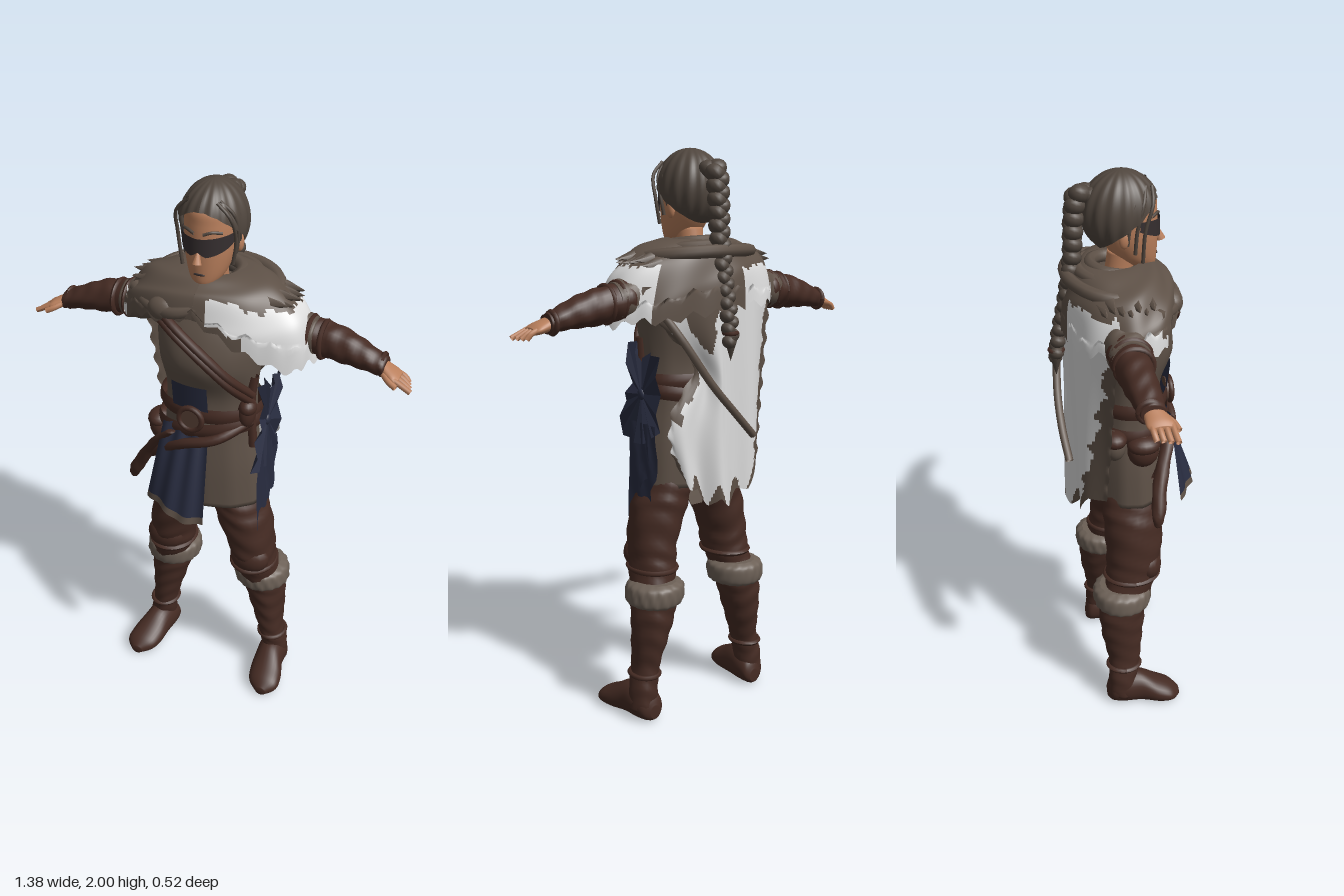
import * as THREE from 'three';

const mat = (name, color, side = THREE.DoubleSide) => Object.assign(new THREE.MeshStandardMaterial({ color, side }), { name });
const V = (x, y, z) => new THREE.Vector3(x, y, z);

export function createModel() {
  const model = new THREE.Group();
  model.name = 'wanderer';
  const cloth = mat('brown cloth', 0x5e5147), leather = mat('dark leather', 0x452b23), white = mat('white cloth', 0xdcdcdc),
    navy = mat('navy cloth', 0x292d41), skin = mat('skin', 0xb97f5c), fur = mat('fur', 0x6c6056),
    hair = mat('hair', 0x50463e), dark = mat('mask', 0x352e2f), metal = mat('old metal', 0x553e34);

  const add = (name, geo, material, parent = model) => {
    const m = new THREE.Mesh(geo, material);
    m.name = name;
    parent.add(m);
    return m;
  };

  // Mirrors a geometry to the other side, keeping its faces outward
  const flip = (geo) => {
    geo.scale(-1, 1, 1);
    const ix = geo.index.array;
    for (let i = 0; i < ix.length; i += 3) [ix[i], ix[i + 1]] = [ix[i + 1], ix[i]];
    geo.computeVertexNormals();
    return geo;
  };
  const both = (name, make, material) => {
    add('left' + name, make(), material);
    add('right' + name, flip(make()), material);
  };

  // Smooth body through elliptical sections [x, y, z, r1, r2] along an axis
  const loft = (rings, axis = 'y', wrinkle = () => 1, seg = 28, sub = 6) => {
    const pos = [], idx = [], n = (rings.length - 1) * sub + 1;
    const at = (i, k) => rings[Math.max(0, Math.min(rings.length - 1, i))][k];
    for (let r = 0; r < n; r++) {
      const i = Math.min(Math.floor(r / sub), rings.length - 2), t = r / sub - i;
      const [x, y, z, p, q] = [0, 1, 2, 3, 4].map((k) => {
        const a = at(i - 1, k), b = at(i, k), c = at(i + 1, k), d = at(i + 2, k);
        return 0.5 * (2 * b + (c - a) * t + (2 * a - 5 * b + 4 * c - d) * t * t + (3 * b - a - 3 * c + d) * t * t * t);
      });
      for (let j = 0; j < seg; j++) {
        const a = j / seg * Math.PI * 2, w = wrinkle(a, r / (n - 1)), C = Math.cos(a) * w, S = Math.sin(a) * w;
        const v = axis === 'y' ? [x + p * S, y, z + q * C] : axis === 'x' ? [x, y + p * C, z + q * S] : [x + p * C, y + q * S, z];
        pos.push(v[0], Math.max(0, v[1]), v[2]);
      }
    }
    for (const k of [0, rings.length - 1]) pos.push(...rings[k].slice(0, 3));
    for (let j = 0; j < seg; j++) {
      const k = (j + 1) % seg, top = (n - 1) * seg;
      for (let r = 0; r < n - 1; r++) {
        const a = r * seg + j, b = r * seg + k;
        idx.push(a, b, a + seg, b, b + seg, a + seg);
      }
      idx.push(n * seg, k, j, n * seg + 1, top + j, top + k);
    }
    const g = new THREE.BufferGeometry();
    g.setAttribute('position', new THREE.Float32BufferAttribute(pos, 3));
    g.setIndex(idx);
    g.computeVertexNormals();
    return g;
  };

  // Cloth surface from a rule; pick(u, v) gives each cell a slot in the material list
  const sheet = (name, fn, nu, nv, mats, pick = () => 0) => {
    const pos = [], cells = mats.map(() => []), g = new THREE.BufferGeometry();
    for (let j = 0; j <= nv; j++) for (let i = 0; i <= nu; i++) pos.push(...fn(i / nu, j / nv));
    for (let j = 0; j < nv; j++) for (let i = 0; i < nu; i++) {
      const a = j * (nu + 1) + i, c = a + nu + 1;
      cells[pick((i + 0.5) / nu, (j + 0.5) / nv)].push(a, c, a + 1, a + 1, c, c + 1);
    }
    g.setAttribute('position', new THREE.Float32BufferAttribute(pos, 3));
    g.setIndex(cells.flat());
    let start = 0;
    cells.forEach((c, k) => { g.addGroup(start, c.length, k); start += c.length; });
    g.computeVertexNormals();
    return add(name, g, mats);
  };
  const tube = (pts, r, seg = 24) => new THREE.TubeGeometry(new THREE.CatmullRomCurve3(pts.map((p) => V(...p))), seg, r, 8);
  const ball = (x, y, z, a, b, c) => new THREE.SphereGeometry(1, 18, 12).scale(a, b, c).translate(x, y, z);
  const jag = (t) => Math.abs(((t % 1) + 1) % 1 - 0.5) * 2;
  const bump = (t, mid, width) => Math.exp(-(((t - mid) / width) ** 2));
  const folds = (n, amp) => (a, s) => 1 + amp * Math.sin(s * n + 2 * Math.sin(a * 2)) + amp * 0.6 * Math.sin(a * 5 + s * 9);

  // Legs, boots and fur cuffs
  both('Trouser', () => loft([[.19, .47, -.03, .075, .085], [.168, .56, -.005, .082, .095], [.16, .64, .005, .085, .1],
    [.13, .76, .008, .1, .106], [.108, .84, .005, .092, .104], [.09, .92, 0, .075, .08]], 'y', folds(40, .025)), leather);
  both('KneePad', () => ball(.172, .595, .05, .075, .065, .052), leather);
  both('KneeStrap', () => new THREE.TorusGeometry(.08, .01, 6, 28).rotateX(Math.PI / 2).scale(1, 1, 1.18).translate(.168, .55, -.005), leather);
  both('Boot', () => loft([[.25, .04, -.055, .05, .052], [.245, .12, -.052, .05, .055], [.23, .2, -.045, .047, .06],
    [.215, .3, -.05, .062, .074], [.2, .4, -.05, .077, .085], [.19, .47, -.045, .075, .088]], 'y', folds(44, .03)), leather);
  both('AnkleStrap', () => new THREE.TorusGeometry(.05, .009, 6, 24).rotateX(Math.PI / 2).scale(1, 1, 1.15).translate(.237, .17, -.048), leather);
  both('Foot', () => loft([[.235, .035, -.112, .02, .025], [.24, .05, -.095, .045, .05], [.245, .06, -.05, .056, .065], [.25, .06, .01, .056, .066],
    [.262, .042, .075, .064, .048], [.27, .032, .125, .056, .033], [.273, .022, .158, .02, .016]], 'z'), leather);
  both('FurCuff', () => loft([[.19, .425, -.045, .075, .085], [.188, .44, -.045, .1, .1], [.186, .47, -.045, .104, .106],
    [.184, .5, -.045, .098, .102], [.183, .515, -.045, .07, .08]], 'y', (a, s) => 1 + .025 * Math.sin(a * 17 + s * 8), 48), fur);

  // Tunic and skirt
  add('tunic', loft([[0, .85, .01, .2, .135], [0, 1, .01, .19, .132], [0, 1.15, .01, .168, .122], [0, 1.28, .01, .165, .114], [0, 1.4, .02, .178, .145],
    [0, 1.5, .005, .19, .14], [0, 1.59, -.02, .18, .115], [0, 1.65, -.025, .09, .08]], 'y', (a, s) => 1 + .012 * (1 - s) * Math.sin(a * 12), 48), cloth);
  sheet('tunicBackFlap', (u, v) => [(u - .5) * (.13 - .08 * v), .88 - .12 * v, -.02 - .03 * v], 6, 4, [cloth]);

  // Navy front panels
  sheet('chestPanel', (u, v) => {
    const x = -.09 + .135 * u;
    return [x, 1.34 - .14 * v, .012 + (.128 + .018 * (1 - v)) * Math.sqrt(1 - (x / .19) ** 2)];
  }, 10, 4, [navy]);
  sheet('frontPanel', (u, v) => [(-.125 + .17 * u) * (1 - v) + (-.185 + .26 * u) * v, 1.17 - .32 * v + .01 * v * Math.sin(u * 7),
    .138 + v * (.032 + .085 * Math.sin(Math.min(1, u * 1.4) * 1.57)) + .005 * Math.sin(u * 19)], 24, 14, [navy, cloth], (u, v) => (v > .92 ? 1 : 0));

  // Belts, buckle, pouches and scabbard
  const belt = (name, y, h, tilt, r) => sheet(name, (u, v) => {
    const a = u * Math.PI * 2, b = r + .007 * Math.sin(v * Math.PI);
    return [(.168 + b) * Math.sin(a), y + h * (.5 - v) + tilt * Math.sin(a), .01 + (.12 + b) * Math.cos(a)];
  }, 48, 4, [leather]);
  belt('upperBelt', 1.225, .055, 0, .013);
  belt('lowerBelt', 1.165, .05, .03, .02);
  add('buckle', new THREE.CylinderGeometry(.044, .044, .02, 18).rotateX(Math.PI / 2).translate(-.012, 1.215, .153), metal);
  add('buckleRim', new THREE.TorusGeometry(.042, .01, 8, 24).translate(-.012, 1.215, .16), leather);
  add('hangingStrap', tube([[.17, 1.2, .06], [.08, 1.15, .15], [-.04, 1.11, .165], [-.15, 1.03, .12], [-.21, .97, .07]], .018), leather);
  add('sideStrap', tube([[.172, 1.37, .05], [.165, 1.27, .055], [.178, 1.1, .06]], .016), leather);
  add('scabbard', loft([[-.295, .835, .06, .012, .012], [-.28, .88, .065, .026, .024], [-.22, .98, .085, .026, .025], [-.15, 1.08, .125, .023, .022],
    [-.09, 1.14, .15, .016, .016]], 'y', folds(30, .06), 12), leather);
  [[-.185, 1.08, .03, .045, .06, .055], [-.18, 1.11, -.07, .045, .055, .04], [.155, 1.23, .07, .03, .055, .035]].forEach((p, i) => {
    add('pouch' + i, ball(...p), i === 1 ? cloth : leather);
    add('pouchFlap' + i, ball(p[0] * 1.03, p[1] + .025, p[2], p[3], p[4] * .55, p[5] * 1.05), leather);
  });

  // Navy pleated bow with tails on the left hip
  const outline = [[.085, 1.35], [.03, 1.36], [0, 1.29], [-.05, 1.33], [-.1, 1.32], [-.105, 1.19], [-.1, 1.06], [-.05, 1.02], [0, 1.0],
    [.06, 1.01], [.13, 1.03], [.1, 1.14], [.06, 1.21]];
  const fan = [];
  outline.forEach((p, i) => {
    const q = outline[(i + 1) % outline.length], mid = [(p[0] + q[0]) / 2, (p[1] + q[1]) / 2];
    fan.push(.205, 1.18, 0, .218, mid[1], mid[0], .198, p[1], p[0], .205, 1.18, 0, .198, q[1], q[0], .218, mid[1], mid[0]);
  });
  const bow = new THREE.BufferGeometry();
  bow.setAttribute('position', new THREE.Float32BufferAttribute(fan, 3));
  bow.computeVertexNormals();
  add('hipBow', bow, navy);
  add('bowKnot', ball(.205, 1.18, 0, .01, .02, .018), navy);
  [[.015, .655, .1], [-.04, .84, .08]].forEach(([z, end, w], i) => sheet('bowTail' + i, (u, v) =>
    [.207 + .005 * Math.sin(u * 9 + v * 6), 1.08 + (end - 1.08) * v + .05 * v * jag(u * 1.5), z + (u - .5) * w * (1.1 + .2 * Math.sin(v * 3))], 8, 10, [navy]));

  // Arms and hands
  both('Sleeve', () => loft([[.14, 1.555, -.03, .07, .085], [.24, 1.535, -.04, .078, .08], [.31, 1.515, -.045, .07, .072], [.35, 1.51, -.048, .062, .062]], 'x', folds(20, .03)), cloth);
  both('Bracer', () => loft([[.29, 1.517, -.05, .05, .05], [.3, 1.515, -.05, .066, .068], [.36, 1.508, -.05, .06, .06], [.43, 1.497, -.048, .059, .056], [.5, 1.483, -.043, .048, .05],
    [.56, 1.466, -.038, .037, .042], [.59, 1.457, -.035, .033, .038]], 'x', folds(42, .035)), leather);
  for (const [x, y, r] of [[.33, 1.512, .062], [.375, 1.505, .06], [.575, 1.461, .034]])
    both('BracerBand' + x * 1000, () => new THREE.TorusGeometry(r, .009, 6, 24).rotateY(Math.PI / 2).translate(x, y, -.045), leather);
  both('Palm', () => loft([[.575, 1.46, -.036, .024, .03], [.6, 1.45, -.028, .022, .038], [.625, 1.442, -.022, .018, .043], [.642, 1.436, -.02, .012, .036]], 'x'), skin);
  for (let i = 0; i < 4; i++) {
    const z = -.05 + i * .02, end = .665 + i * .007;
    both('Finger' + i, () => tube([[.625, 1.443, z], [.65, 1.432, z + .002], [end, 1.415, z + .006]], .0095, 6), skin);
  }
  both('Thumb', () => tube([[.59, 1.45, 0], [.615, 1.438, .02], [.64, 1.427, .028]], .01, 6), skin);

  // Ragged mantle over the shoulders, white on the left and at the right of the back
  sheet('mantle', (u, v) => {
    const a = u * Math.PI * 2, s = Math.sin(v * Math.PI / 2), X = Math.sin(a), Z = Math.cos(a);
    const rip = v > .85 ? .03 * jag(u * 23) + .015 * jag(u * 9) : 0, w = 1 + .02 * v * Math.sin(a * 9 + v * 5);
    const drop = .2 + .06 * Math.max(0, X) - .05 * Math.max(0, Z) + .04 * Math.max(0, -Z) + .03 * X * X + .05 * bump(a, .75, .45);
    return [(.085 + .245 * s + .028 * Math.max(0, X) * s) * X * w, 1.705 - drop * v * v + rip + .012 * Math.sin(v * 14 + a * 3) * v,
      -.025 + (Z > 0 ? .08 + .115 * s : .09 + .1 * s) * Z * w];
  }, 140, 32, [cloth, white], (u, v) => {
    const a = u * Math.PI * 2, n = .02 * Math.sin(a * 11) + .015 * Math.sin(a * 27 + v * 20);
    const left = a > .12 && a < 2.3 && v > .53 + n && v < (a < .5 ? .93 : 1.1) + n;
    return left || (a > 3.4 && a < 4.45 && v > .64 + n) || (a > 4.7 && a < 5.3 && v > .88 + n * 2) ? 1 : 0;
  });
  for (let k = 0; k < 3; k++) // Soft cowl rolls
    add('cowlRoll' + k, new THREE.TorusGeometry(.085 + k * .04, .022, 8, 40).rotateX(Math.PI / 2 + .12).scale(1 + k * .12, 1, .95).translate(0, 1.685 - k * .018, -.03 - k * .003), cloth);
  for (let i = 0; i < 14; i++) { // Ragged tufts on the shoulders
    const s = i % 2 ? 1 : -1, t = Math.floor(i / 2) / 6;
    add('shoulderTuft' + i, new THREE.ConeGeometry(.024, .07, 5).rotateZ(-s * 1.6).translate(s * (.24 + .025 * Math.sin(t * 3)), 1.648 - .02 * jag(t * 2.3), -.11 + t * .15), cloth);
  }
  add('scarfKnot', ball(-.115, 1.595, .135, .055, .042, .035), cloth);
  add('scarfFold', tube([[-.26, 1.61, .05], [-.16, 1.59, .125], [-.06, 1.6, .155], [.08, 1.645, .1]], .022), cloth);
  for (const d of [0, .028]) // Chest straps
    add('baldric' + d, tube([[-.15, 1.6 - d, .13], [-.06, 1.55 - d, .165], [.04, 1.47 - d, .165], [.12, 1.38 - d, .13], [.17, 1.3 - d, .06]], .015), leather);

  // Long torn cape, cut away below the left shoulder
  const capePoint = (u, v) => {
    const c = u * 2 - 1, e = c * c;
    const half = c < 0 ? .31 - .08 * v : (.28 - .11 * v) * (1 - .65 * bump(v, .43, .19));
    const len = .78 - .14 * e + (v > .8 ? (v - .8) * (.2 * jag(u * 4.5) - .2) : 0);
    const rag = e > .95 ? .008 * Math.sin(v * 50) : 0;
    return [c * half + rag, 1.56 - len * v, -.2 + (c < 0 ? .12 : .085) * e * (1 - .35 * v) + .012 * Math.sin(u * 17 + v * 2) * (.3 + v)];
  };
  sheet('cape', capePoint, 64, 56, [white, cloth], (u, v) => {
    const n = .02 * Math.sin(v * 33) + .012 * Math.sin(v * 71 + u * 9), hood = .3 * bump(u, .68, .14);
    return u < .07 + .13 * v * v + n || (u > .93 + n && v < .7) || v < hood + n || v > .96 + .05 * Math.sin(u * 30) ? 1 : 0;
  });
  add('capeCord', tube([[.24, 1.5, -.14], [.17, 1.38, -.195], [.07, 1.23, -.222], [-.03, 1.12, -.225], [-.12, 1.03, -.215]], .014), cloth);

  // Head and face
  add('neck', loft([[0, 1.6, -.03, .06, .06], [0, 1.66, -.015, .047, .05], [0, 1.74, 0, .047, .052]]), skin);
  add('face', loft([[0, 1.672, .07, .02, .022], [0, 1.69, .058, .042, .046], [0, 1.72, .038, .062, .07], [0, 1.77, .02, .078, .09], [0, 1.82, .01, .085, .1],
    [0, 1.88, .005, .086, .102], [0, 1.93, 0, .077, .098], [0, 1.97, 0, .035, .04]]), skin);
  add('nose', new THREE.ConeGeometry(.016, .055, 8).rotateX(-.3).translate(0, 1.79, .115), skin);
  add('mouth', ball(0, 1.723, .107, .02, .004, .004), dark);
  both('Ear', () => ball(.086, 1.8, -.015, .012, .03, .018), skin);
  sheet('eyeMask', (u, v) => {
    const a = (u - .5) * 2.7, q = Math.abs(u - .5) * 2;
    return [.09 * Math.sin(a), 1.845 + .008 * q - v * (.062 - .03 * q * q - .018 * Math.max(0, 1 - q * 5)), .012 + .106 * Math.cos(a)];
  }, 28, 4, [dark]);
  both('Brow', () => tube([[.015, 1.858, .11], [.04, 1.866, .101], [.066, 1.86, .077]], .005, 8), hair);

  // Swept hair, loose locks and braid
  sheet('hairCap', (u, v) => {
    const a = u * Math.PI * 2, f = (1 + Math.cos(a)) / 2;
    const y = 2 - (.245 - .17 * f ** 1.3) * v ** 1.6, r = Math.sqrt(Math.max(0, 1 - ((y - 1.865) / .135) ** 2)) * (1 + .025 * Math.sin(a * 16 + v * 2));
    return [.108 * r * Math.sin(a), y, -.01 + .127 * r * Math.cos(a)];
  }, 96, 20, [hair]);
  for (const [s, y] of [[1, 1.75], [-1, 1.72]]) for (let k = 0; k < 3; k++)
    add('looseLock', tube([[s * .05, 1.955, .08 - k * .02], [s * .092, 1.91, .075 - k * .03], [s * (.1 - k * .004), 1.83, .05 - k * .025], [s * .088, y + k * .03, .045 - k * .025]], .006, 12), hair);
  const path = new THREE.CatmullRomCurve3([V(0, 1.92, -.1), V(0, 1.93, -.145), V(0, 1.86, -.16), V(0, 1.72, -.17), V(0, 1.57, -.195), V(0, 1.45, -.222), V(0, 1.37, -.232)]);
  for (let i = 0; i < 30; i++) {
    const p = path.getPointAt(i / 29), s = i % 2 ? 1 : -1, r = .037 - .012 * i / 29;
    add('braidStrand' + i, new THREE.SphereGeometry(1, 12, 8).scale(r, r * .85, r).rotateZ(s * .6).translate(p.x + s * .008, p.y, p.z), hair);
  }
  add('braidTie', new THREE.TorusGeometry(.022, .008, 6, 16).rotateX(Math.PI / 2).translate(0, 1.4, -.23), leather);
  add('braidTip', new THREE.ConeGeometry(.024, .08, 8).rotateX(Math.PI).translate(0, 1.345, -.232), hair);
  return model;
}
